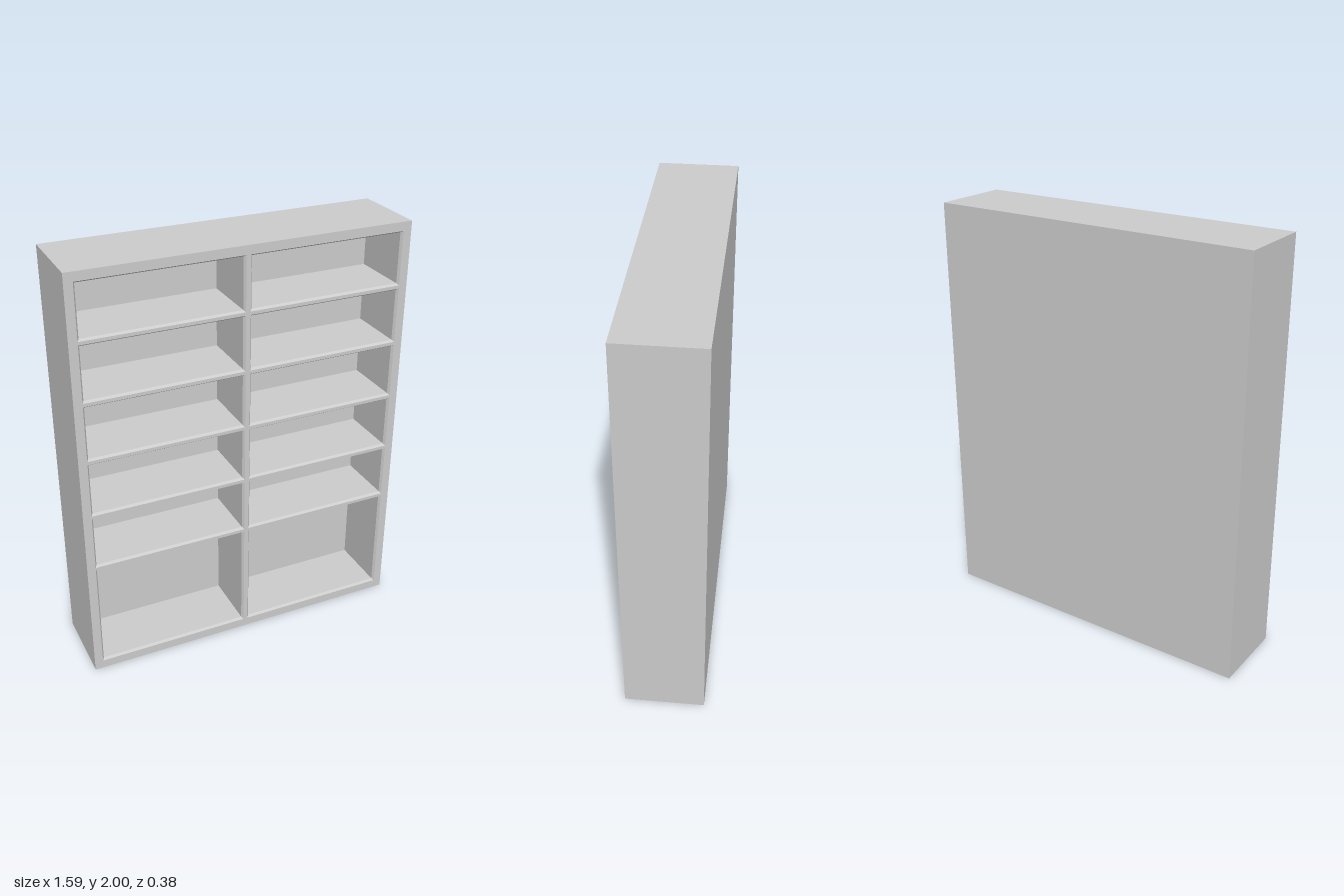
import * as THREE from 'three';

const W = 0.795, H = 2, D = 0.188;        // half width, height, half depth
const BACK = -0.105;                      // inner face of the back panel
const CHAMFER = 0.008, CHAMFER_DEPTH = 0.012;

function rect(path, x0, y0, x1, y1) {
  path.moveTo(x0, y0);
  path.lineTo(x1, y0);
  path.lineTo(x1, y1);
  path.lineTo(x0, y1);
  path.closePath();
  return path;
}

export function createModel() {
  const group = new THREE.Group();
  group.name = 'bookcase';
  const material = new THREE.MeshStandardMaterial({ color: 0xcccccc, flatShading: true });

  // Frame, divider and shelves: one slab pierced by two columns of openings
  const outline = rect(new THREE.Shape(), -W, 0, W, H);
  const rows = [[0.042, 0.575]];
  for (let i = 0; i < 5; i++) {
    const bottom = 0.59 + i * 0.2785;
    rows.push([bottom, i === 4 ? 1.958 : bottom + 0.263]);
  }
  for (const [y0, y1] of rows) {
    outline.holes.push(rect(new THREE.Path(), -0.755, y0, -0.011, y1));
    outline.holes.push(rect(new THREE.Path(), 0.011, y0, 0.755, y1));
  }

  // The bevel chamfers the front edge of each opening
  const start = BACK - 0.02;
  const carcass = new THREE.ExtrudeGeometry(outline, {
    depth: D - start - 2 * CHAMFER_DEPTH,
    bevelEnabled: true, bevelSegments: 1,
    bevelSize: CHAMFER, bevelThickness: CHAMFER_DEPTH,
  });
  carcass.translate(0, 0, start + CHAMFER_DEPTH);

  // Flatten the outer sides so only the openings stay chamfered
  const p = carcass.attributes.position;
  for (let i = 0; i < p.count; i++) {
    p.setX(i, THREE.MathUtils.clamp(p.getX(i), -W, W));
    p.setY(i, THREE.MathUtils.clamp(p.getY(i), 0, H));
  }
  carcass.computeVertexNormals();
  const frame = new THREE.Mesh(carcass, material);
  frame.name = 'frameAndShelves';
  group.add(frame);

  // Back panel closing the compartments
  const back = new THREE.Mesh(new THREE.BoxGeometry(2 * W, H, BACK + D), material);
  back.position.set(0, H / 2, (BACK - D) / 2);
  back.name = 'backPanel';
  group.add(back);

  return group;
}
